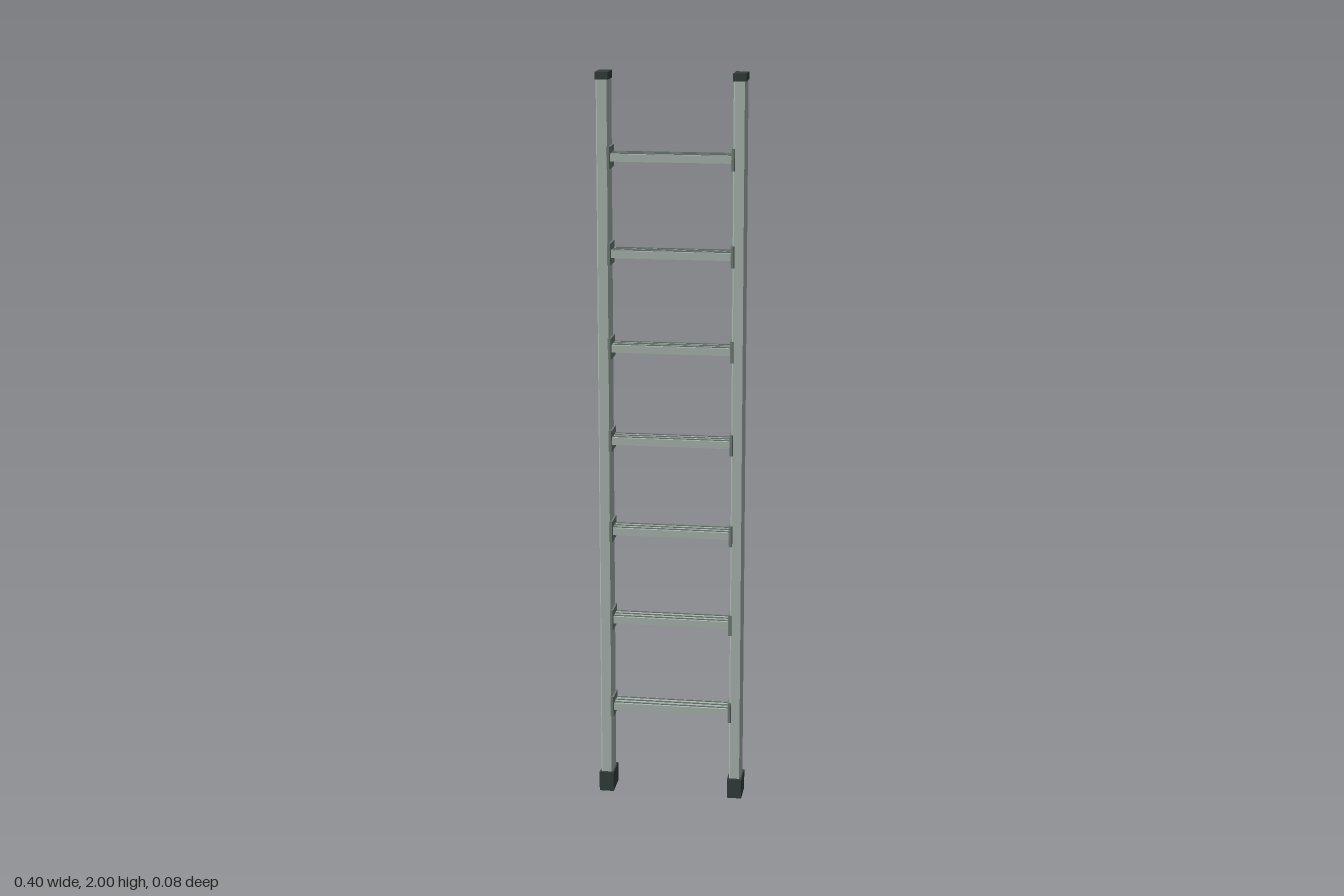
import * as THREE from 'three';

export function createModel() {
  const ladder = new THREE.Group();
  ladder.name = 'ladder';

  const metal = new THREE.MeshStandardMaterial({ color: 0xadb9b3 });
  metal.name = 'aluminium';
  const darkMetal = new THREE.MeshStandardMaterial({ color: 0x717e78 });
  darkMetal.name = 'dark aluminium';
  const rubber = new THREE.MeshStandardMaterial({ color: 0x343f3e });
  rubber.name = 'dark rubber';

  const add = (parent, name, material, geometry, pos) => {
    const mesh = new THREE.Mesh(geometry, material);
    mesh.name = name;
    mesh.position.set(...pos);
    parent.add(mesh);
  };
  const box = (w, h, d) => new THREE.BoxGeometry(w, h, d);

  // Upright block with chamfered vertical edges
  const chamferedBlock = (w, h, d, c) => {
    const a = w / 2, b = d / 2;
    const s = new THREE.Shape([
      [-a + c, -b], [a - c, -b], [a, -b + c], [a, b - c],
      [a - c, b], [-a + c, b], [-a, b - c], [-a, -b + c],
    ].map(p => new THREE.Vector2(...p)));
    return new THREE.ExtrudeGeometry(s, { depth: h, bevelEnabled: false })
      .translate(0, 0, -h / 2).rotateX(Math.PI / 2);
  };

  // Side rails with feet and end caps
  const beam = chamferedBlock(0.032, 1.95, 0.06, 0.003);
  for (const side of [-1, 1]) {
    const rail = new THREE.Group();
    rail.name = side > 0 ? 'leftRail' : 'rightRail';
    rail.position.x = side * 0.18;
    add(rail, 'railBeam', metal, beam, [0, 1.01, 0]);
    add(rail, 'foot', rubber, box(0.04, 0.055, 0.077), [0, 0.0275, 0]);
    add(rail, 'endCap', rubber, box(0.034, 0.02, 0.068), [0, 1.99, 0]);
    ladder.add(rail);
  }

  // Rungs with grip ridges and mounting plates
  const plate = chamferedBlock(0.01, 0.058, 0.064, 0.002);
  for (let i = 0; i < 7; i++) {
    const rung = new THREE.Group();
    rung.name = `rung${i + 1}`;
    rung.position.y = 0.25 + i * 0.2547;
    add(rung, 'tread', metal, box(0.33, 0.02, 0.058), [0, 0, 0]);
    for (const z of [-0.02, 0, 0.02])
      add(rung, 'gripRidge', darkMetal, box(0.318, 0.004, 0.004), [0, 0.0105, z]);
    for (const side of [-1, 1])
      add(rung, 'mountingPlate', darkMetal, plate, [side * 0.164, 0, 0]);
    ladder.add(rung);
  }
  return ladder;
}
